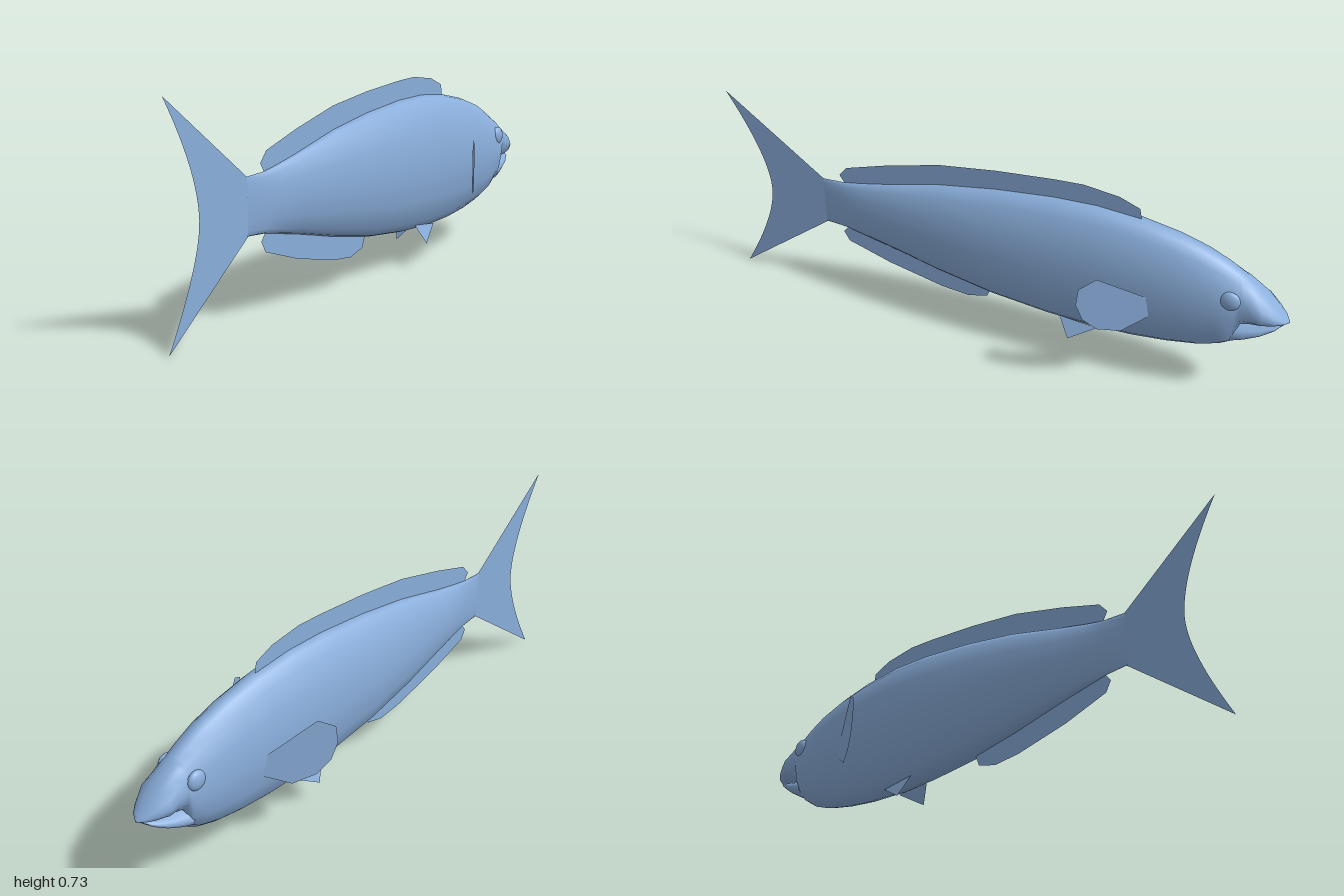
import * as THREE from 'three';

const skin = new THREE.MeshStandardMaterial({ color: 0x8aaedb, side: THREE.DoubleSide });
skin.name = 'blue skin';

// Sixteen-sided elliptical rings skinned along z; station = [z, top, bottom, halfWidth]
const quarter = [0, 15, 33, 60];
const angles = [...quarter, 90, 120, 147, 165].map(d => d * Math.PI / 180);
const ringAngles = [...angles, ...angles.map(a => a + Math.PI)];

function loft(stations) {
  const n = ringAngles.length, pos = [], index = [];
  for (const [z, top, bottom, w] of stations) {
    for (const a of ringAngles) {
      pos.push(Math.sin(a) * w, (top + bottom) / 2 + Math.cos(a) * (top - bottom) / 2, z);
    }
  }
  for (let i = 0; i < stations.length - 1; i++) {
    for (let j = 0; j < n; j++) {
      const a = i * n + j, b = i * n + (j + 1) % n;
      index.push(a, a + n, b, b, a + n, b + n);
    }
  }
  const g = new THREE.BufferGeometry();
  g.setAttribute('position', new THREE.Float32BufferAttribute(pos, 3));
  g.setIndex(index);
  g.computeVertexNormals();
  return g;
}

const toShape = pts => new THREE.Shape(pts.map(p => new THREE.Vector2(...p)));

// Flat fin on the centre plane, outlined in (z, y)
const medianFin = shape => new THREE.ShapeGeometry(shape).rotateY(-Math.PI / 2);

// Flat paired fin outlined in (x, y), leaned back by a depth rule
function pairedFin(pts, side, depth) {
  const g = new THREE.ShapeGeometry(toShape(pts));
  const p = g.attributes.position;
  for (let i = 0; i < p.count; i++) {
    const x = p.getX(i), y = p.getY(i);
    p.setXYZ(i, side * x, y, depth(x, y));
  }
  g.computeVertexNormals();
  return g;
}

export function createModel() {
  const fish = new THREE.Group();
  fish.name = 'fish';
  const add = (name, geometry) => {
    const m = new THREE.Mesh(geometry, skin);
    m.name = name;
    fish.add(m);
    return m;
  };

  // Body from snout to tail root, with the underside stepped up for the mouth
  add('body', loft([
    [-1.0, 0.337, 0.333, 0.002], [-0.985, 0.352, 0.331, 0.028], [-0.96, 0.378, 0.324, 0.048],
    [-0.92, 0.417, 0.314, 0.069], [-0.885, 0.445, 0.307, 0.067], [-0.85, 0.47, 0.295, 0.071],
    [-0.835, 0.481, 0.218, 0.075], [-0.79, 0.508, 0.19, 0.081], [-0.72, 0.541, 0.166, 0.089],
    [-0.62, 0.572, 0.147, 0.095], [-0.5, 0.595, 0.134, 0.099], [-0.35, 0.607, 0.129, 0.1],
    [-0.2, 0.602, 0.136, 0.098], [0, 0.58, 0.157, 0.09], [0.2, 0.546, 0.195, 0.074],
    [0.4, 0.496, 0.241, 0.046], [0.5, 0.474, 0.261, 0.031], [0.56, 0.463, 0.273, 0.02],
    [0.645, 0.459, 0.279, 0.003],
  ]));

  // Lower jaw tucked under the lip
  add('lowerJaw', loft([
    [-0.985, 0.329, 0.323, 0.006], [-0.96, 0.322, 0.301, 0.032], [-0.92, 0.314, 0.272, 0.048],
    [-0.87, 0.306, 0.244, 0.057], [-0.83, 0.305, 0.225, 0.06],
  ]));

  // Tail fin with a scooped trailing edge
  const tail = toShape([[0.64, 0.28], [1, 0.005]]);
  tail.quadraticCurveTo(0.86, 0.25, 0.86, 0.365);
  tail.quadraticCurveTo(0.86, 0.5, 1, 0.73);
  tail.lineTo(0.64, 0.455);
  add('tailFin', medianFin(tail));

  // Dorsal and anal fins, rooted inside the body
  add('dorsalFin', medianFin(toShape([
    [0.55, 0.44], [0.58, 0.49], [0.55, 0.525], [0.4, 0.572], [0.2, 0.624], [0, 0.652],
    [-0.2, 0.67], [-0.3, 0.675], [-0.42, 0.66], [-0.49, 0.632], [-0.5, 0.58],
    [-0.3, 0.57], [0, 0.54], [0.3, 0.49],
  ])));
  add('analFin', medianFin(toShape([
    [0.55, 0.29], [0.58, 0.25], [0.56, 0.215], [0.4, 0.162], [0.2, 0.116], [0.1, 0.106],
    [0.03, 0.125], [0.01, 0.175], [0.2, 0.23], [0.4, 0.27],
  ])));

  // Paired fins and eyes
  for (const [word, side] of [['left', 1], ['right', -1]]) {
    add(word + 'PectoralFin', pairedFin([
      [0.09, 0.29], [0.135, 0.24], [0.175, 0.257], [0.2, 0.302], [0.212, 0.365],
      [0.209, 0.426], [0.18, 0.46], [0.097, 0.37],
    ], side, x => -0.56 + (x - 0.095) * 1.7));
    // Pelvic fin: a small triangle hanging outwards
    const pelvic = new THREE.BufferGeometry();
    pelvic.setAttribute('position', new THREE.Float32BufferAttribute([
      side * 0.038, 0.155, -0.25, side * 0.063, 0.085, -0.29, side * 0.035, 0.14, -0.385], 3));
    pelvic.computeVertexNormals();
    add(word + 'PelvicFin', pelvic);
    const eye = add(word + 'Eye', new THREE.SphereGeometry(0.034, 16, 12));
    eye.scale.x = 0.5;
    eye.position.set(side * 0.064, 0.41, -0.815);
  }
  return fish;
}
